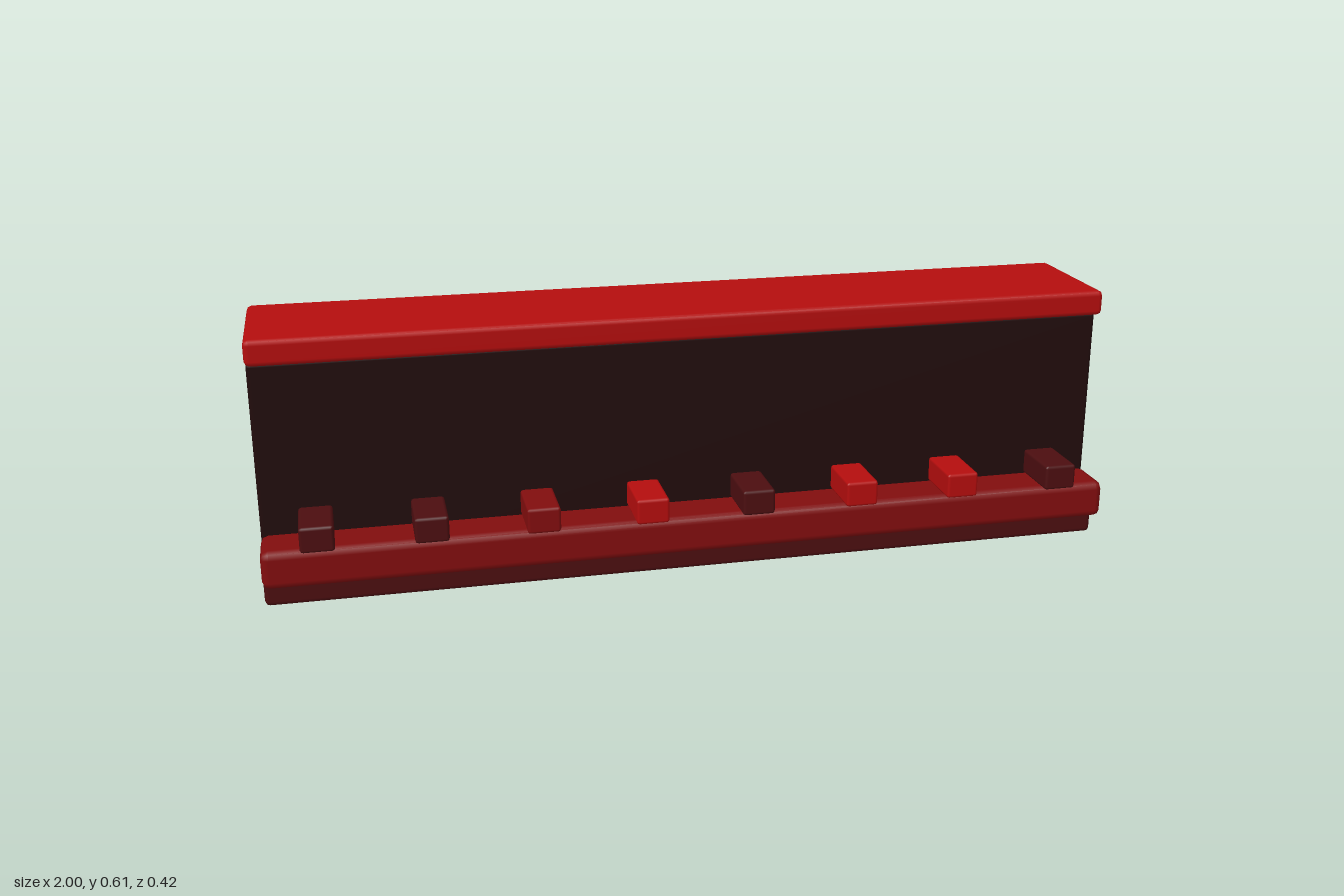
import * as THREE from 'three';
import { RoundedBoxGeometry } from 'three/addons/geometries/RoundedBoxGeometry.js';

const material = (name, color) => {
  const m = new THREE.MeshStandardMaterial({ color });
  m.name = name;
  return m;
};

export function createModel() {
  const group = new THREE.Group();
  group.name = 'shelfWall';

  const brightRed = material('brightRed', 0xb50d0d);
  const midRed = material('midRed', 0x820d0e);
  const darkRed = material('darkRed', 0x4c0e10);
  const nearBlack = material('nearBlack', 0x210c0c);

  // Box with bevelled edges, given by its y and z extents
  function bar(name, mat, width, x, [y0, y1], [z0, z1], bevel) {
    const geometry = new RoundedBoxGeometry(width, y1 - y0, z1 - z0, 1, bevel);
    const mesh = new THREE.Mesh(geometry, mat);
    mesh.name = name;
    mesh.position.set(x, (y0 + y1) / 2, (z0 + z1) / 2);
    group.add(mesh);
  }

  // Main wall and its overhanging cap
  bar('wall', nearBlack, 1.998, 0, [0, 0.55], [-0.172, 0.078], 0.01);
  bar('cap', brightRed, 2, 0, [0.55, 0.61], [-0.211, 0.112], 0.012);

  // Stepped ledge along the front
  bar('plinth', darkRed, 2, 0, [0, 0.06], [0.068, 0.143], 0.012);
  bar('ledge', midRed, 2, 0, [0.06, 0.15], [0.068, 0.193], 0.018);

  // Row of small blocks on the ledge
  const blockColors = [darkRed, darkRed, midRed, brightRed, darkRed, brightRed, brightRed, darkRed];
  blockColors.forEach((mat, i) => {
    bar(`block${i + 1}`, mat, 0.076, -0.875 + i * 0.25, [0.15, 0.21], [0.077, 0.212], 0.007);
  });

  return group;
}
